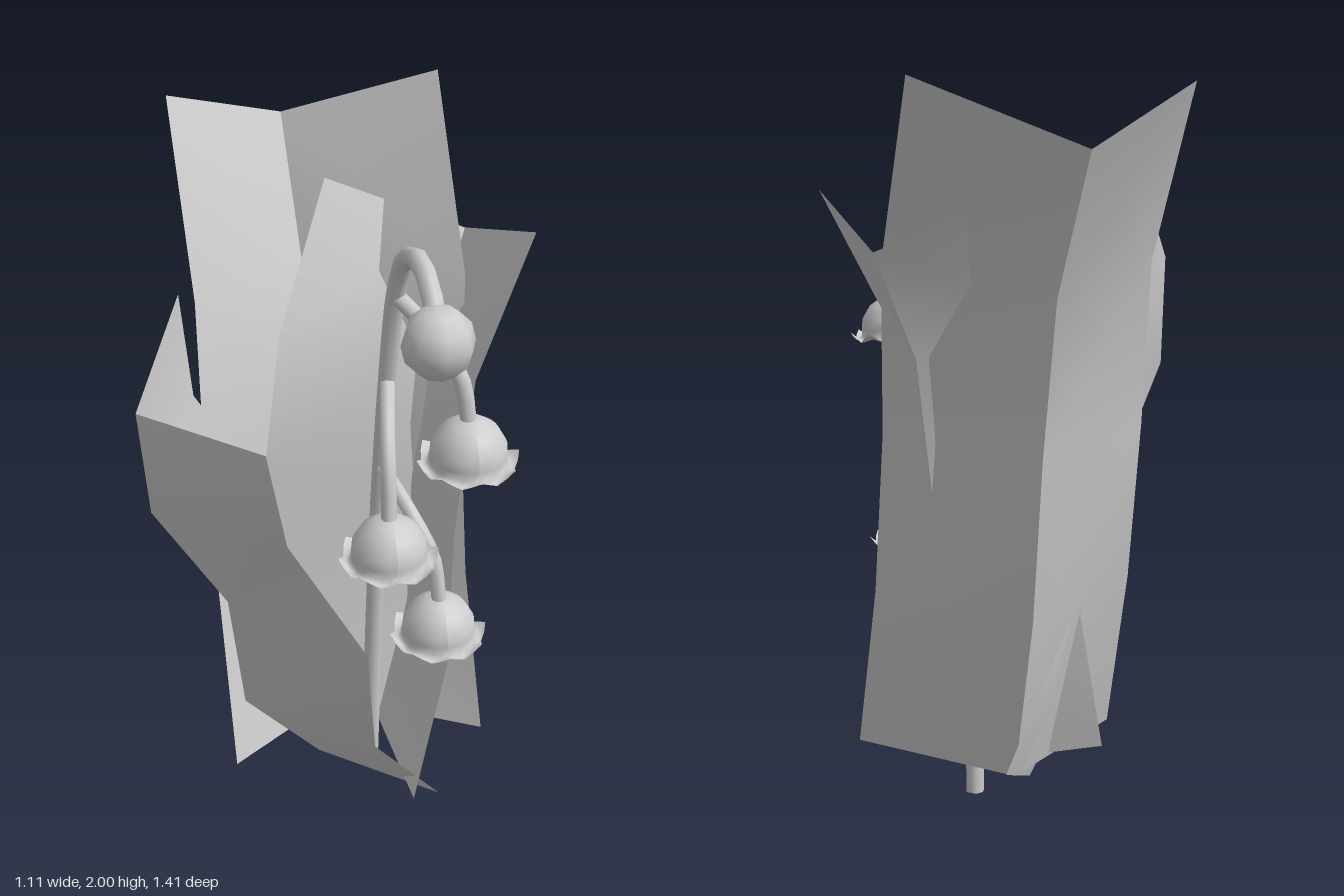
import * as THREE from 'three';

const material = new THREE.MeshStandardMaterial({ color: 0xcccccc, side: THREE.DoubleSide });
const vec = (p) => new THREE.Vector3(...p);

function addMesh(parent, name, geometry) {
  const mesh = new THREE.Mesh(geometry, material);
  mesh.name = name;
  parent.add(mesh);
  return mesh;
}

// Open strip between two edge lines, smooth along its length
function stripGeometry(edgeA, edgeB) {
  const positions = [], index = [];
  edgeA.forEach((p, i) => {
    positions.push(...p, ...edgeB[i]);
    if (i > 0) {
      const a = 2 * i - 2;
      index.push(a, a + 1, a + 2, a + 1, a + 3, a + 2);
    }
  });
  const geometry = new THREE.BufferGeometry();
  geometry.setAttribute('position', new THREE.Float32BufferAttribute(positions, 3));
  geometry.setIndex(index);
  geometry.computeVertexNormals();
  return geometry;
}

// Leaf folded sharply along its midrib
function makeLeaf(name, edgeA, midrib, edgeB) {
  const leaf = new THREE.Group();
  leaf.name = name;
  addMesh(leaf, name + 'HalfA', stripGeometry(edgeA, midrib));
  addMesh(leaf, name + 'HalfB', stripGeometry(midrib, edgeB));
  return leaf;
}

// Round stalk through a few points
function stalkGeometry(points, radius, segments) {
  const curve = new THREE.CatmullRomCurve3(points.map(vec));
  return new THREE.TubeGeometry(curve, segments, radius, 8);
}

// Hanging bell: lathed dome whose flared rim is scalloped into petals
function bellGeometry() {
  const profile = [[0.001, 0.11], [0.04, 0.104], [0.075, 0.08], [0.098, 0.04],
    [0.1, 0.01], [0.1, -0.012], [0.112, -0.02], [0.128, -0.012]];
  const geometry = new THREE.LatheGeometry(profile.map(([r, y]) => new THREE.Vector2(r, y)), 32);
  const pos = geometry.attributes.position;
  for (let i = 0; i < pos.count; i++) {
    const x = pos.getX(i), z = pos.getZ(i);
    const flare = Math.max(0, (Math.hypot(x, z) - 0.1) / 0.028);
    const wave = Math.cos(8 * Math.atan2(z, x));
    const scale = 1 + 0.06 * flare * wave;
    pos.setXYZ(i, x * scale, pos.getY(i) + 0.014 * flare * wave, z * scale);
  }
  geometry.computeVertexNormals();
  return geometry;
}

export function createModel() {
  const model = new THREE.Group();
  model.name = 'bellFlowerPlant';

  // Leaves, each row running from the base to the tip
  model.add(makeLeaf('backLeaf',
    [[-0.31, 0.14, 0.17], [-0.32, 0.62, 0.01], [-0.34, 1.07, -0.04], [-0.335, 1.53, -0.13], [-0.35, 2, -0.43]],
    [[0.05, 0.09, -0.12], [0.04, 0.57, -0.28], [0.03, 1.02, -0.34], [0.02, 1.45, -0.44], [0.01, 1.82, -0.705]],
    [[0.445, 0.14, 0.16], [0.42, 0.62, 0], [0.405, 1.07, -0.06], [0.42, 1.53, -0.15], [0.41, 2, -0.47]]));

  model.add(makeLeaf('frontLeaf',
    [[0.27, 0.06, 0.33], [0.035, 0.42, 0.48], [-0.01, 0.81, 0.555], [-0.235, 1.26, 0.65], [-0.29, 1.555, 0.695]],
    [[-0.035, 0.03, 0.04], [-0.28, 0.39, 0.18], [-0.33, 0.81, 0.25], [-0.53, 1.2, 0.35], [-0.555, 1.52, 0.39]],
    [[0.12, 0.16, -0.3], [-0.1, 0.53, -0.15], [-0.165, 0.95, -0.07], [-0.37, 1.34, 0.03], [-0.4, 1.66, 0.06]]));

  model.add(makeLeaf('sideLeaf',
    [[0.17, 0.135, 0.415], [0.28, 0.54, 0.32], [0.3, 0.94, 0.26], [0.36, 1.39, 0.19], [0.555, 1.725, 0.03]],
    [[0.16, 0.1, 0], [0.265, 0.48, -0.08], [0.28, 0.88, -0.13], [0.335, 1.28, -0.185], [0.475, 1.57, -0.355]],
    [[-0.23, 0.13, -0.04], [-0.14, 0.54, -0.12], [-0.15, 0.97, -0.16], [-0.09, 1.36, -0.22], [0.08, 1.73, -0.42]]));

  // Main stem arching over to a closed bud
  addMesh(model, 'stem', stalkGeometry([[0.13, 0.002, 0.033], [0.13, 0.5, 0.05], [0.13, 1, 0.09], [0.13, 1.45, 0.16],
    [0.13, 1.68, 0.215], [0.13, 1.81, 0.29], [0.13, 1.88, 0.44], [0.13, 1.85, 0.55], [0.13, 1.78, 0.61]], 0.026, 28));
  const cap = addMesh(model, 'stemCap', new THREE.CircleGeometry(0.026, 8));
  cap.rotation.x = Math.PI / 2;
  cap.position.set(0.13, 0.002, 0.033);
  const bud = addMesh(model, 'bud', new THREE.SphereGeometry(0.09, 8, 6));
  bud.position.set(0.13, 1.762, 0.62);

  // Bells hanging on side stalks
  const bell = bellGeometry();
  const bells = [
    { at: [0.28, 1.305, 0.415], stalk: [[0.13, 1.68, 0.215], [0.2, 1.62, 0.33], [0.26, 1.52, 0.39], [0.28, 1.39, 0.41]] },
    { at: [0.08, 1.02, 0.405], stalk: [[0.13, 1.4, 0.15], [0.1, 1.34, 0.28], [0.085, 1.25, 0.36], [0.08, 1.11, 0.4]] },
    { at: [0.24, 0.7, 0.35], stalk: [[0.13, 1.1, 0.11], [0.18, 1.03, 0.26], [0.225, 0.93, 0.32], [0.24, 0.79, 0.35]] },
  ];
  bells.forEach(({ at, stalk }, i) => {
    addMesh(model, 'bellStalk' + (i + 1), stalkGeometry(stalk, 0.021, 10));
    addMesh(model, 'bell' + (i + 1), bell).position.set(...at);
  });

  return model;
}
